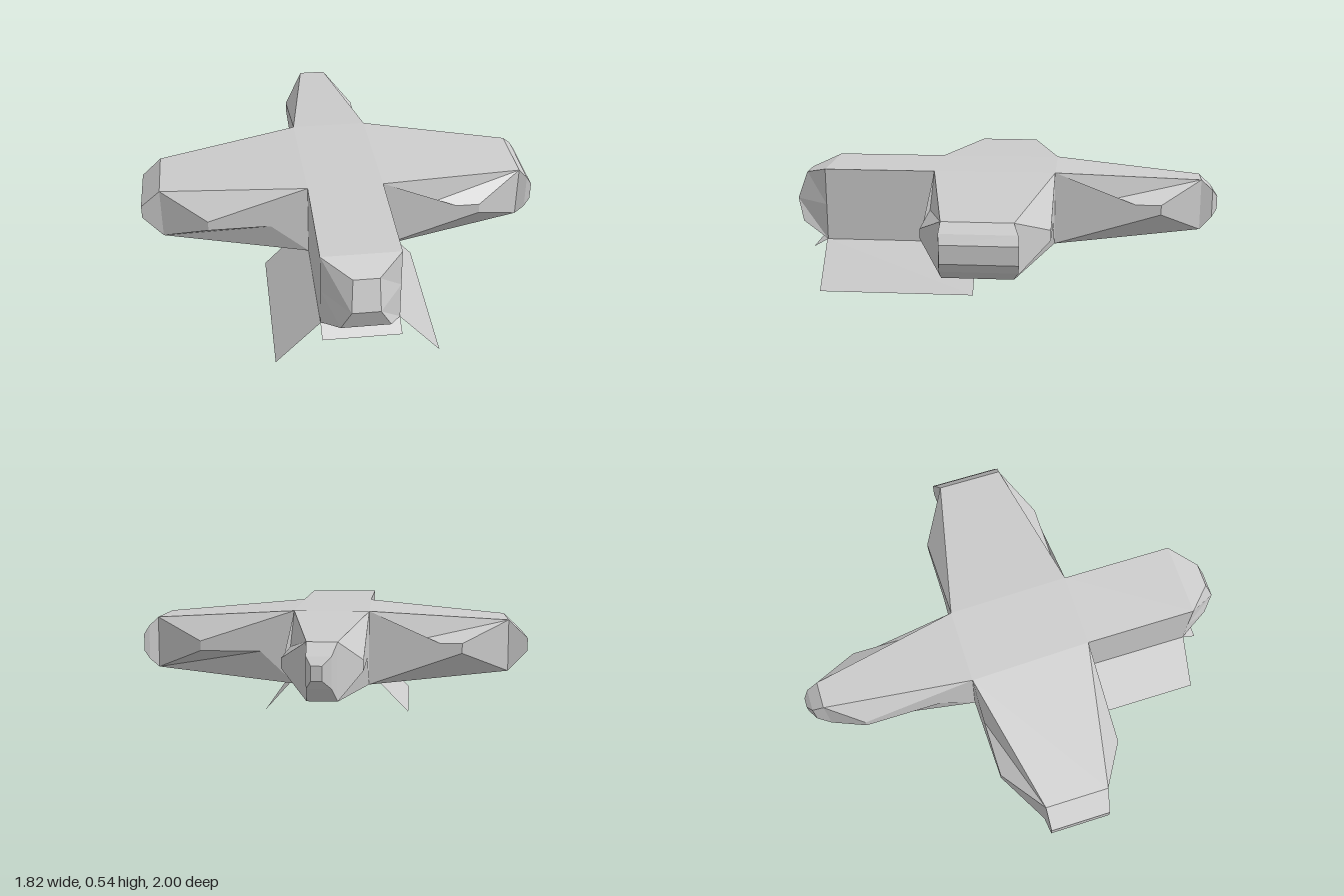
import * as THREE from 'three';

const TOP = 0.54, BOTTOM = 0.2, AXIS = 0.37;
const grey = new THREE.MeshStandardMaterial({ color: 0xcccccc, flatShading: true, side: THREE.DoubleSide });
grey.name = 'light grey';

// Fans convex polygons into triangles, each turned away from the long axis (local x).
function solid(name, polygons, turn = 0) {
  const pos = [];
  const ab = new THREE.Vector3(), ac = new THREE.Vector3(), out = new THREE.Vector3();
  for (const poly of polygons) {
    const p = poly.map((v) => new THREE.Vector3(...v));
    for (let i = 1; i < p.length - 1; i++) {
      const [a, b, c] = [p[0], p[i], p[i + 1]];
      const normal = ab.subVectors(b, a).cross(ac.subVectors(c, a));
      if (normal.length() < 1e-7) continue;
      out.copy(a).add(b).add(c).divideScalar(3);
      out.sub(new THREE.Vector3(out.x * 0.9, AXIS, 0));
      const order = normal.dot(out) > 0 ? [a, b, c] : [a, c, b];
      order.forEach((v) => pos.push(v.x, v.y, v.z));
    }
  }
  const geo = new THREE.BufferGeometry();
  geo.setAttribute('position', new THREE.Float32BufferAttribute(pos, 3));
  geo.rotateY(turn);
  geo.computeVertexNormals();
  const mesh = new THREE.Mesh(geo, grey);
  mesh.name = name;
  return mesh;
}

// Quads joining successive rings of points.
function loft(rings) {
  const quads = [];
  for (let r = 0; r < rings.length - 1; r++) {
    const a = rings[r], b = rings[r + 1], n = a.length;
    for (let i = 0; i < n; i++) quads.push([a[i], a[(i + 1) % n], b[(i + 1) % n], b[i]]);
  }
  return quads;
}

const rect = (x, lo, hi, zR, zL) => [[x, hi, zR], [x, lo, zR], [x, lo, zL], [x, hi, zL]];

// Tapered arm pointing along +x; per side: root [x, z], knuckle x, start of the fold x.
// The fold is above the ridge on the right side and below it on the left.
function arm(name, { right, left, rings }, turn) {
  const tip = rings[0], polys = loft(rings);
  polys.push(rings[rings.length - 1]);
  const sides = [[right, tip[0], tip[1], true], [left, tip[3], tip[2], false]];
  for (const [s, tipTop, tipLow, foldAbove] of sides) {
    const [x, z] = s.root;
    const a = [x, TOP, z], a2 = [x, BOTTOM, z];
    const p = [s.knuckle, 0.395, z], p2 = [s.knuckle, 0.35, z];
    const b = foldAbove ? [s.fold, 0.395, z] : p;
    const b2 = foldAbove ? p2 : [s.fold, 0.35, z];
    polys.push([a, b, b2, a2], [b, p, p2, b2]);       // upright wall
    polys.push([a, b, tipTop], [b, p, tipTop]);       // upper bevel
    polys.push([a2, b2, tipLow], [b2, p2, tipLow]);   // lower bevel
    polys.push([p, p2, tipLow, tipTop]);              // bevel to the tip
  }
  for (const [y, r, l] of [[TOP, tip[0], tip[3]], [BOTTOM, tip[1], tip[2]]]) {
    polys.push([[right.root[0], y, right.root[1]], r, l, [left.root[0], y, left.root[1]]]);
  }
  return solid(name, polys, turn);
}

// Thin open flap from four corners.
function flap(name, corners) {
  const geo = new THREE.BufferGeometry();
  geo.setAttribute('position', new THREE.Float32BufferAttribute(corners.flat(), 3));
  geo.setIndex([0, 1, 2, 0, 2, 3]);
  geo.computeVertexNormals();
  const mesh = new THREE.Mesh(geo, grey);
  mesh.name = name;
  return mesh;
}

export function createModel() {
  const group = new THREE.Group();
  group.name = 'crossShapedCraft';

  // Centre deck, top and bottom
  const deck = (y) => [[0.18, y, 0.32], [0.17, y, -0.24], [-0.175, y, -0.24], [-0.16, y, 0.32]];
  group.add(solid('centreDeck', [deck(TOP), deck(BOTTOM)]));

  // Three tapered arms
  group.add(arm('leftArm', {
    right: { root: [0.18, 0.32], knuckle: 0.63, fold: 0.33 },
    left: { root: [0.17, -0.24], knuckle: 0.61, fold: 0.33 },
    rings: [rect(0.84, 0.25, 0.49, 0.2, -0.1), rect(0.88, 0.29, 0.45, 0.205, -0.12),
      rect(0.905, 0.33, 0.41, 0.2, -0.125)],
  }, 0));
  group.add(arm('rightArm', {
    right: { root: [0.175, 0.24], knuckle: 0.6, fold: 0.33 },
    left: { root: [0.16, -0.32], knuckle: 0.61, fold: 0.33 },
    rings: [rect(0.82, 0.25, 0.49, 0.1, -0.19), rect(0.91, 0.345, 0.405, 0.1, -0.175)],
  }, Math.PI));
  group.add(arm('tailArm', {
    right: { root: [0.24, 0.17], knuckle: 0.73, fold: 0.4 },
    left: { root: [0.24, -0.175], knuckle: 0.76, fold: 0.4 },
    rings: [rect(0.92, 0.25, 0.49, 0.045, -0.08), rect(0.975, 0.31, 0.44, 0.042, -0.06),
      rect(1.0, 0.345, 0.405, 0.02, -0.025)],
  }, Math.PI / 2));

  // Straight front arm with a faceted nose
  const ring = (top, mid, low) => [
    [top[0], top[1], top[2]], [mid[0], mid[1], mid[2]], [low[0], low[1], low[2]],
    [low[0], low[1], low[3]], [mid[0], mid[1], mid[3]], [top[0], top[1], top[3]],
  ];
  const box = (x) => ring([x, TOP, 0.16, -0.18], [x, AXIS, 0.16, -0.18], [x, BOTTOM, 0.16, -0.18]);
  const nose = ring([0.95, 0.5, 0.04, -0.07], [1.0, AXIS, 0.05, -0.07], [0.965, 0.27, 0.09, -0.12]);
  group.add(solid('frontArm', [
    ...loft([box(0.32), box(0.835), nose]),
    [nose[0], nose[1], nose[4], nose[5]], [nose[1], nose[2], nose[3], nose[4]],
  ], -Math.PI / 2));

  // Flaps hanging under the front arm
  const sideFlap = (name, x0, x1) => flap(name, [
    [x0, BOTTOM, 0.84], [x1, 0, 0.84], [x1, 0, 0.125], [x0, BOTTOM, 0.125]]);
  group.add(sideFlap('leftFlap', 0.18, 0.36));
  group.add(sideFlap('rightFlap', -0.16, -0.355));
  group.add(flap('chinFlap', [
    [-0.16, BOTTOM, 0.835], [-0.16, 0.16, 0.905], [0.18, 0.16, 0.905], [0.18, BOTTOM, 0.835]]));
  return group;
}
